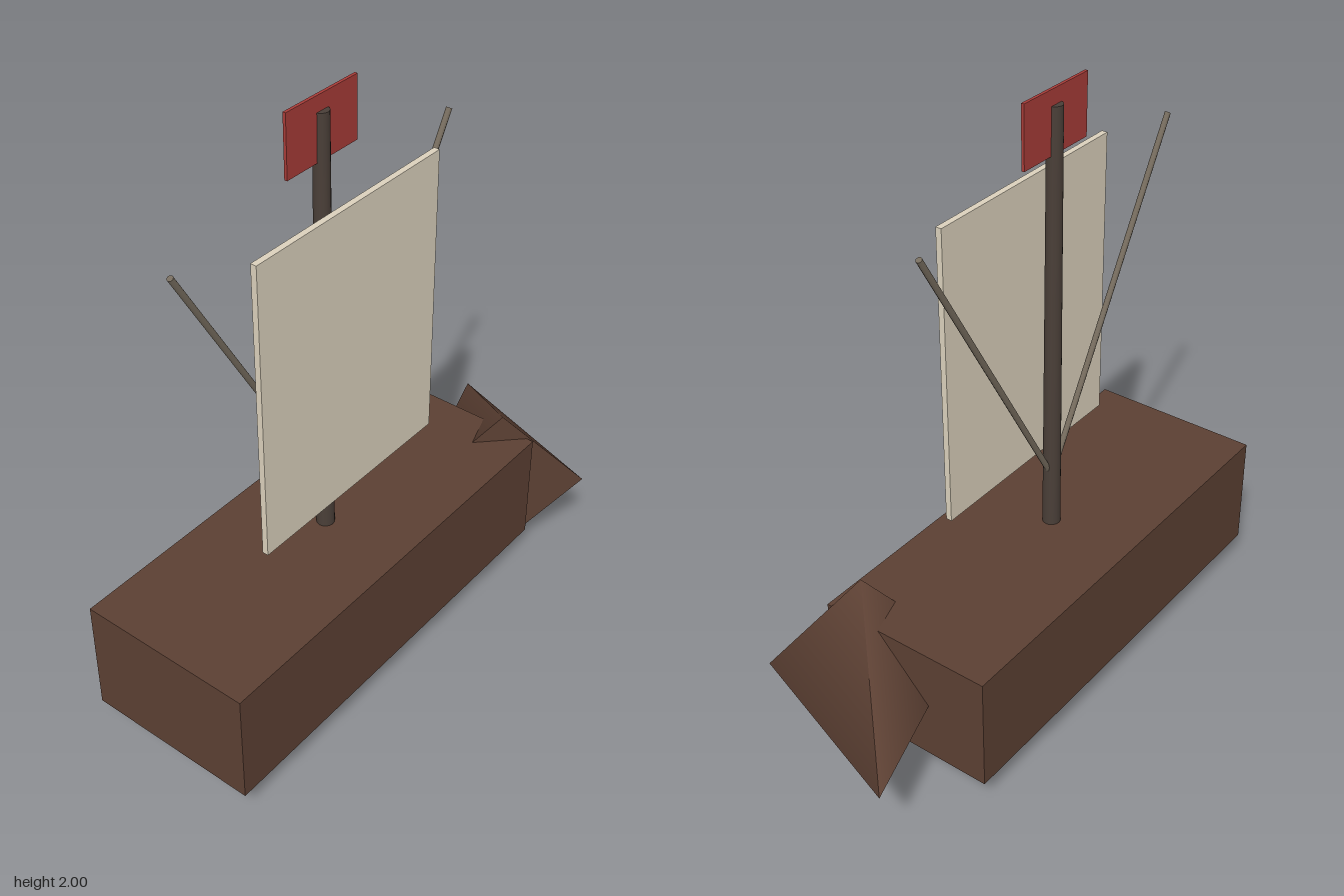
import * as THREE from 'three';

const paint = (color) => new THREE.MeshStandardMaterial({ color });

export function createModel() {
  const model = new THREE.Group();
  model.name = 'sailingShip';

  const add = (name, geometry, material, x, y, z) => {
    const mesh = new THREE.Mesh(geometry, material);
    mesh.name = name;
    mesh.position.set(x, y, z);
    model.add(mesh);
    return mesh;
  };

  const wood = paint(0x5c4033);
  const mastWood = paint(0x4a3f38);
  const ropeFibre = paint(0x766c5e);

  // Box hull, lying along the ship's own x axis
  add('hull', new THREE.BoxGeometry(1.5, 0.4, 0.6), wood, 0, 0.3, 0);

  // Four-sided bow, swung 45 degrees away from the hull's axis
  const bow = add('bow', new THREE.ConeGeometry(0.3, 0.6, 4), wood, 0.9, 0.3, 0);
  bow.rotation.set(0, Math.PI / 4, -Math.PI / 2);

  // Slightly tapered mast standing in the hull
  add('mast', new THREE.CylinderGeometry(0.025, 0.03, 1.5, 16), mastWood, 0, 1.2, 0);

  // Sail in front of the mast, flag at its top
  add('sail', new THREE.BoxGeometry(0.8, 1, 0.02), paint(0xdcd2bd), 0, 1.2, 0.1);
  add('flag', new THREE.BoxGeometry(0.3, 0.2, 0.01), paint(0xa83c38), 0, 1.9, 0);

  // Two rigging lines spreading upwards in a V from the mast
  for (const side of [-1, 1]) {
    const rope = add(side < 0 ? 'sternRope' : 'bowRope',
      new THREE.CylinderGeometry(0.01, 0.01, 1.2, 8), ropeFibre, side * 0.3, 1.2, 0);
    rope.rotation.z = -side * Math.PI / 6;
  }

  // The whole ship is turned 30 degrees and centred
  model.rotation.y = Math.PI / 6;
  model.position.set(-0.096, 0, 0.052);

  const root = new THREE.Group();
  root.name = 'ship';
  root.add(model);
  return root;
}
